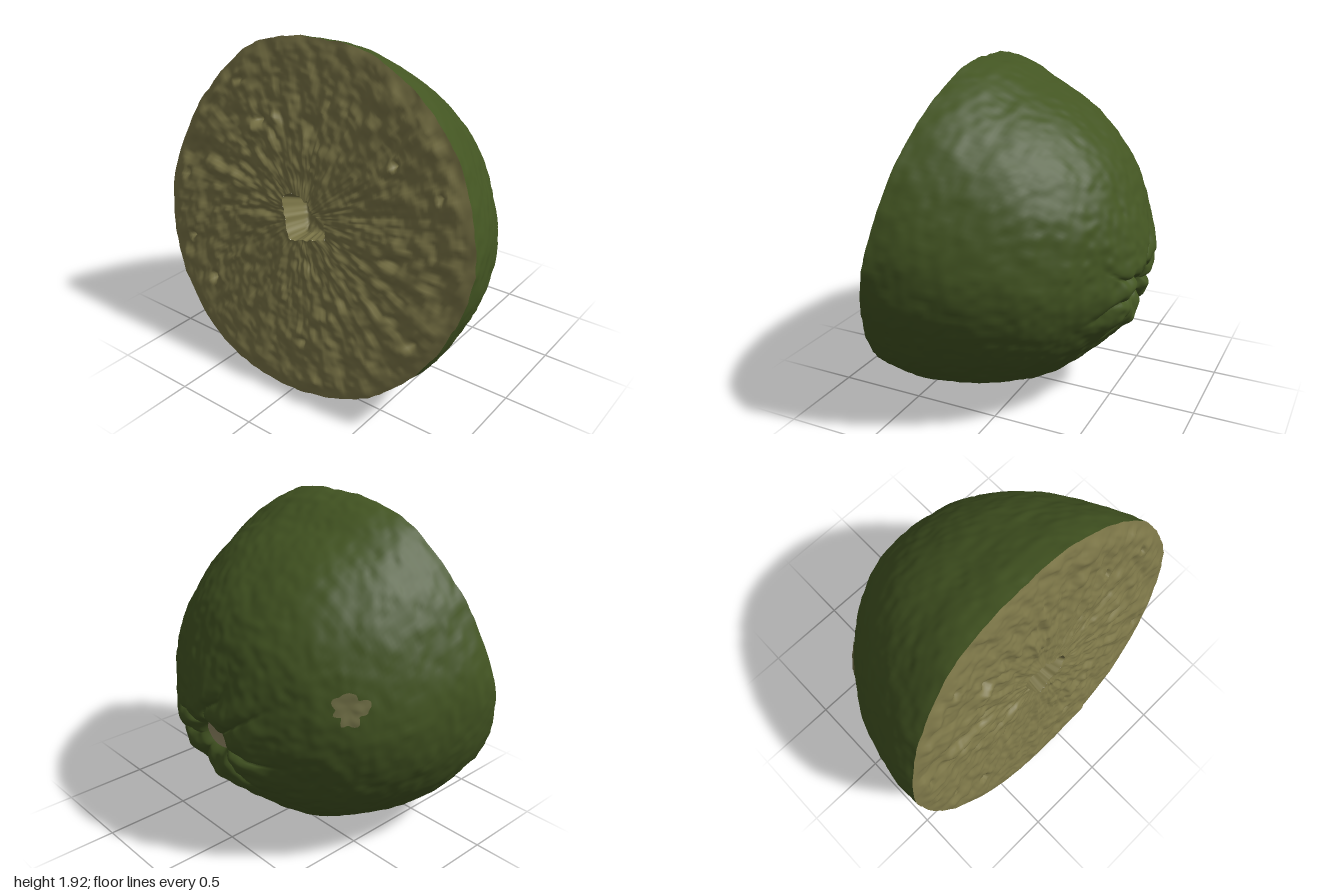
import * as THREE from 'three';

const TAU = Math.PI * 2;
const { smoothstep, lerp } = THREE.MathUtils;

// Seeded value noise, range -1..1
const hash = (x, y, z) => {
  let n = (Math.imul(x, 374761393) + Math.imul(y, 668265263) + Math.imul(z, 1274126177)) | 0;
  n = Math.imul(n ^ (n >>> 13), 1274126177);
  return ((n ^ (n >>> 16)) >>> 0) / 2147483648 - 1;
};
function noise(x, y, z) {
  const [i, j, k] = [x, y, z].map(Math.floor);
  const [a, b, c] = [x - i, y - j, z - k].map(t => t * t * (3 - 2 * t));
  const row = (q, r) => lerp(hash(i, q, r), hash(i + 1, q, r), a);
  return lerp(lerp(row(j, k), row(j + 1, k), b), lerp(row(j, k + 1), row(j + 1, k + 1), b), c);
}

// Smooth closed interpolation through evenly spaced values
function around(values, angle) {
  const n = values.length;
  const f = ((angle / TAU) % 1 + 1) % 1 * n;
  const i = Math.floor(f) % n;
  const t = (1 - Math.cos((f - Math.floor(f)) * Math.PI)) / 2;
  return values[i] * (1 - t) + values[(i + 1) % n] * t;
}

// Closed rings of points; fn(angle, v) returns [x, y, z]
function rings(nu, nv, fn) {
  const pos = [], index = [];
  for (let j = 0; j <= nv; j++)
    for (let i = 0; i < nu; i++) pos.push(...fn(i / nu * TAU, j / nv));
  for (let j = 0; j < nv; j++)
    for (let i = 0; i < nu; i++) {
      const a = j * nu + i, b = j * nu + (i + 1) % nu;
      index.push(a, b, a + nu, b, b + nu, a + nu);
    }
  const g = new THREE.BufferGeometry();
  g.setAttribute('position', new THREE.Float32BufferAttribute(pos, 3));
  g.setIndex(index);
  g.computeVertexNormals();
  return g;
}

// Outline of the cut, and half profile (radius, depth) from stem to rim
const OUTLINE = [1, 0.97, 0.958, 0.953, 0.99, 0.968, 1, 1, 0.985, 0.957, 0.97, 0.982];
const PROFILE = new THREE.SplineCurve([
  [0.085, 1.09], [0.12, 1.14], [0.19, 1.148], [0.29, 1.122], [0.43, 1.045], [0.55, 0.963],
  [0.67, 0.86], [0.785, 0.71], [0.89, 0.51], [0.96, 0.3], [0.992, 0.15], [1, 0],
].map(p => new THREE.Vector2(...p)));

// Point on the rind, s = 0 at the stem and 1 at the rim
function rind(angle, s, lift = 0) {
  const p = PROFILE.getPoint(s);
  const c = Math.cos(angle), d = Math.sin(angle);
  // Puckered lobes around the stem
  const a = angle - Math.PI / 2 + 0.2 * Math.sin(2 * angle) + 0.3 * noise(c * 2 + 5, d * 2, p.x * 7);
  const reach = Math.exp(-(((p.x - 0.23) / 0.15) ** 2)) * smoothstep(p.x, 0.085, 0.16);
  const lobe = reach * (0.06 * Math.sqrt(Math.abs(Math.sin(3.5 * a))) - 0.035
    + 0.015 * noise(p.x * c * 12, p.x * d * 12, 4));
  // Pores and soft dents
  const x = p.x * c, y = p.x * d, z = p.y;
  const dent = 0.006 * noise(x * 6, y * 6, z * 6) + 0.005 * noise(x * 22, y * 22, z * 22);
  const r = p.x * around(OUTLINE, angle) * (1 + dent) + lift * p.x;
  // The fruit leans a little down and to one side
  const sag = -0.025 * smoothstep(p.y, 0, 0.3);
  const lean = -0.02 * Math.sin(2.7 * p.y);
  return [r * c + lean, r * d + sag, -(p.y * (1 + dent) + lobe + lift * p.y)];
}

// Ragged opening at the core
const HOLE = [0.14, 0.08, 0.075, 0.1, 0.14, 0.16, 0.13, 0.12, 0.15, 0.12, 0.13, 0.16];
const holeEdge = a => {
  const r = around(HOLE, a) * (1 + 0.12 * noise(Math.cos(a) * 5, Math.sin(a) * 5, 2));
  return [r * Math.cos(a) - 0.02, r * Math.sin(a) + 0.01];
};

// Seed pockets on the cut: x, y, size
const POCKETS = [[-0.55, 0.66, 0.04], [-0.39, 0.47, 0.05], [-0.88, 0.06, 0.03], [0.74, -0.44, 0.05],
  [-0.6, -0.5, 0.04], [-0.8, -0.3, 0.03], [0.08, -0.66, 0.04], [0.78, 0.32, 0.03], [0.5, 0.42, 0.03]];

// Relief of the cut flesh: radiating fibres plus pockets
function relief(angle, t, x, y) {
  const c = Math.cos(angle), d = Math.sin(angle);
  const fade = Math.min(1, (1 - t) * 12);
  const fibres = 0.016 * noise(c * 10, d * 10, t * 6) + 0.012 * noise(c * 26, d * 26, t * 12);
  let z = 0.014 + fibres * Math.min(1, 0.15 + t * 1.8)
    + 0.008 * noise(x * 14, y * 14, 3) + 0.005 * noise(x * 34, y * 34, 6);
  for (const [px, py, size] of POCKETS) {
    const q = Math.hypot(x - px, y - py) / size;
    z += 0.06 * (q - 0.7) * Math.exp(-q * q);
  }
  return z * fade;
}

function flesh(angle, v) {
  const rim = rind(angle, 1), core = holeEdge(angle), t = 1 - v;
  const x = core[0] + (rim[0] - core[0]) * t;
  const y = core[1] + (rim[1] - core[1]) * t;
  return [x, y, relief(angle, t, x, y)];
}

// Walls of the core drop steeply to an uneven floor
function hollow(angle, v) {
  const edge = flesh(angle, 1);
  const k = v < 0.5 ? 1 - v * 0.5 : 1.5 - v * 1.5;
  const drop = Math.min(1, v * 2);
  const x = (edge[0] + 0.02) * k - 0.02, y = (edge[1] - 0.01) * k + 0.01;
  const floor = -0.1 + 0.25 * x + 0.02 * noise(x * 25, y * 25, 8);
  return [x, y, edge[2] * (1 - drop) + floor * drop];
}

export function createModel() {
  const mat = (name, color) => {
    const m = new THREE.MeshStandardMaterial({ color });
    m.name = name;
    return m;
  };
  const green = mat('rind green', 0x435522);
  const tan = mat('flesh tan', 0x7b7547);
  const pale = mat('stem scar beige', 0x988e69);
  const olive = mat('blemish olive', 0x717046);

  const fruit = new THREE.Group();
  fruit.name = 'halfFruit';
  const add = (name, geometry, material) => {
    const m = new THREE.Mesh(geometry, material);
    m.name = name;
    fruit.add(m);
  };

  add('rind', rings(240, 130, (a, v) => rind(a, v)), green);
  add('cutFlesh', rings(240, 80, flesh), tan);
  add('coreHollow', rings(96, 12, hollow), tan);

  // Shallow dish left by the stem
  const hub = [-0.004, -0.025];
  add('stemScar', rings(48, 5, (a, v) => {
    const [x, y, z] = rind(a, 0.02);
    return [lerp(hub[0], x, v), lerp(hub[1], y, v), lerp(-1.085, z, v * v)];
  }), pale);

  // Irregular blemish lying on the rind
  add('blemish', rings(48, 8, (a, v) => {
    const q = (1 - v) * (1 + 0.4 * noise(Math.cos(a) * 2.5, Math.sin(a) * 2.5, 11));
    return rind(2.8 + 0.11 * q * Math.cos(a), 0.605 + 0.042 * q * Math.sin(a), 0.005);
  }), olive);

  // Tilt the cut slightly upwards
  fruit.rotation.set(-0.217, 0.025, 0);
  fruit.position.set(0, 0.98, 0.485);

  const model = new THREE.Group();
  model.name = 'halvedCitrus';
  model.add(fruit);
  return model;
}
